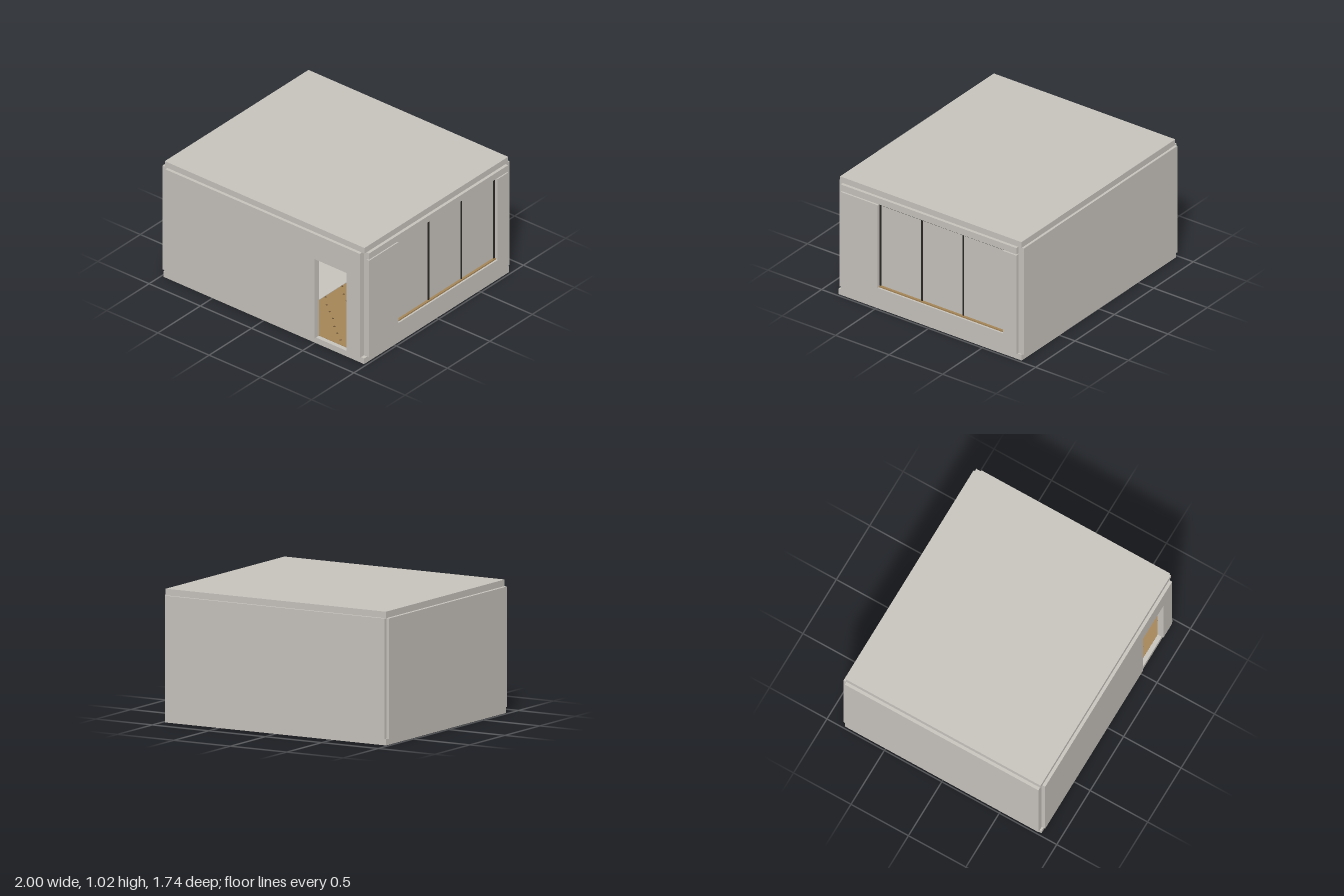
import * as THREE from 'three';

const mat = (name, color, side = THREE.FrontSide) => {
  const m = new THREE.MeshStandardMaterial({ color, side });
  m.name = name;
  return m;
};

export function createModel() {
  const concrete = mat('concrete', 0xc8c4be);
  const black = mat('blackFrame', 0x2a2926);
  const wood = mat('wood', 0xa68658);
  const seam = mat('darkWood', 0x6b5334);
  const clay = mat('clay', 0xa08462);
  const leafMat = mat('leaf', 0x94764f, THREE.DoubleSide);
  const metal = mat('lampMetal', 0xa9acac, THREE.DoubleSide);

  const root = new THREE.Group();
  root.name = 'room';
  const add = (name, geo, material, x = 0, y = 0, z = 0, parent = root) => {
    const mesh = new THREE.Mesh(geo, material);
    mesh.name = name;
    mesh.position.set(x, y, z);
    parent.add(mesh);
    return mesh;
  };
  // box given by its lower and upper limits on each axis
  const box = (name, material, x0, x1, y0, y1, z0, z1, parent = root) =>
    add(name, new THREE.BoxGeometry(x1 - x0, y1 - y0, z1 - z0), material,
      (x0 + x1) / 2, (y0 + y1) / 2, (z0 + z1) / 2, parent);

  // slabs
  box('base', concrete, -0.98, 0.98, 0, 0.05, -0.855, 0.855);
  box('roof', concrete, -0.975, 0.975, 0.97, 1.02, -0.85, 0.845);

  // closed walls
  box('leftWall', concrete, -1, -0.95, 0.05, 0.97, -0.845, 0.84);
  box('backWall', concrete, -0.975, 0.97, 0.05, 0.97, -0.87, -0.82);

  // front wall with door opening
  const front = new THREE.Shape([[-0.95, 0.05], [0.51, 0.05], [0.51, 0.75], [0.82, 0.75],
    [0.82, 0.05], [0.95, 0.05], [0.95, 0.97], [-0.95, 0.97]].map(p => new THREE.Vector2(...p)));
  add('frontWall', new THREE.ExtrudeGeometry(front, { depth: 0.05, bevelEnabled: false }),
    concrete, 0, 0, 0.82);

  // window wall: sill, piers, shallow groove and header
  box('windowSillWall', concrete, 0.95, 1, 0.05, 0.19, -0.82, 0.82);
  box('frontPier', concrete, 0.95, 1, 0.19, 0.905, 0.475, 0.82);
  box('backPier', concrete, 0.95, 1, 0.19, 0.905, -0.82, -0.695);
  box('headerGroove', concrete, 0.95, 0.975, 0.905, 0.915, -0.82, 0.82);
  box('windowHeader', concrete, 0.95, 1, 0.915, 0.97, -0.82, 0.82);

  // window: opaque panes, dark frame and wooden sill
  box('panes', concrete, 0.955, 0.965, 0.19, 0.91, -0.69, 0.47);
  box('topTrack', black, 0.952, 0.985, 0.903, 0.9145, -0.695, 0.475);
  box('sillBoard', wood, 0.952, 0.985, 0.19, 0.2, -0.695, 0.475);
  for (const [z, w] of [[0.47, 0.01], [0.083, 0.015], [-0.302, 0.009], [-0.688, 0.014]])
    box('mullion', black, 0.955, 0.975, 0.2, 0.904, z - w / 2, z + w / 2);

  // plank floor with staggered joints
  box('floorBoards', wood, -0.95, 0.95, 0.05, 0.053, -0.82, 0.82);
  const joints = new THREE.Group();
  joints.name = 'floorJoints';
  root.add(joints);
  for (let i = 0; i < 24; i++) {
    const x = -0.95 + i * 0.08;
    for (let j = 0; j < 8; j++) {
      const z = -0.76 + j * 0.2 + (i % 3) * 0.06;
      box('joint', seam, x + 0.02, x + 0.035, 0.053, 0.0535, z, z + 0.015, joints);
    }
  }
  // pale mat on the floor, and skirting
  box('mat', concrete, -0.75, 0.19, 0.053, 0.058, -0.29, 0.6);
  box('skirting', concrete, -0.95, 0.95, 0.053, 0.085, -0.82, -0.812);

  // table
  box('tableTop', seam, 0.12, 0.665, 0.287, 0.296, -0.62, -0.25);
  for (const x of [0.505, 0.16])
    for (const z of [-0.57, -0.3])
      box('tableLeg', clay, x, x + 0.02, 0.053, 0.287, z - 0.01, z + 0.01);

  const lathe = (name, pts, material, x, y, z) => add(name,
    new THREE.LatheGeometry(pts.map(p => new THREE.Vector2(...p)), 24), material, x, y, z);
  // a thin curved stem carrying a pointed blade at its tip
  const stalk = (base, tip, r, blade, dir) => {
    const mid = new THREE.Vector3(base.x * 0.7 + tip.x * 0.3, base.y * 0.35 + tip.y * 0.65,
      base.z * 0.7 + tip.z * 0.3);
    add('stem', new THREE.TubeGeometry(new THREE.QuadraticBezierCurve3(base, mid, tip),
      8, r, 5), leafMat);
    if (!blade) return;
    const s = new THREE.Shape();
    s.moveTo(0, 0);
    s.quadraticCurveTo(blade * 0.45, blade * 0.5, 0, blade);
    s.quadraticCurveTo(-blade * 0.45, blade * 0.5, 0, 0);
    const leaf = add('leaf', new THREE.ShapeGeometry(s, 6), leafMat, tip.x, tip.y, tip.z);
    leaf.rotation.set(0.3, 0.5, dir);
  };

  // vase with twigs
  lathe('vase', [[0, 0], [0.03, 0], [0.042, 0.03], [0.03, 0.065], [0.014, 0.085], [0.016, 0.1]],
    clay, 0.49, 0.296, -0.45);
  for (const [x, y] of [[0.53, 0.5], [0.515, 0.46], [0.46, 0.49]])
    stalk(new THREE.Vector3(0.49, 0.38, -0.45), new THREE.Vector3(x, y, -0.45), 0.003, 0);

  // plant pot
  lathe('plantPot', [[0, 0], [0.046, 0], [0.064, 0.13], [0.074, 0.13], [0.076, 0.155],
    [0.066, 0.155], [0.06, 0.135], [0, 0.135]], clay, 0.79, 0.053, -0.55);
  // leaves: tip x, y, z offset, blade length, blade direction
  const leaves = [[0.70, 0.44, 0.02, 0.09, 1.2], [0.73, 0.36, 0.05, 0.07, 1.3],
    [0.75, 0.47, -0.04, 0.09, 0.7], [0.77, 0.53, 0.03, 0.06, 0.6],
    [0.795, 0.54, -0.02, 0.06, 0.1], [0.81, 0.5, 0.04, 0.08, -0.3],
    [0.85, 0.47, 0.0, 0.08, -0.9], [0.79, 0.42, 0.1, 0.08, 0.4], [0.83, 0.38, -0.1, 0.08, -0.8]];
  for (const [x, y, dz, size, dir] of leaves)
    stalk(new THREE.Vector3(0.79, 0.19, -0.55), new THREE.Vector3(x, y, -0.55 + dz),
      0.004, size, dir);

  // small stool beside the pot
  box('stoolSeat', clay, 0.71, 0.8, 0.19, 0.2, -0.75, -0.66);
  for (const x of [0.718, 0.788])
    for (const z of [-0.74, -0.67])
      box('stoolLeg', clay, x - 0.005, x + 0.005, 0.053, 0.19, z - 0.005, z + 0.005);

  // pendant lamp over the table
  lathe('lampShade', [[0.2, 0], [0.2, 0.008], [0.18, 0.04], [0.1, 0.08], [0.01, 0.1]],
    metal, 0.4, 0.71, -0.45);
  add('lampCord', new THREE.CylinderGeometry(0.004, 0.004, 0.165, 6), black, 0.4, 0.8875, -0.45);

  return root;
}
